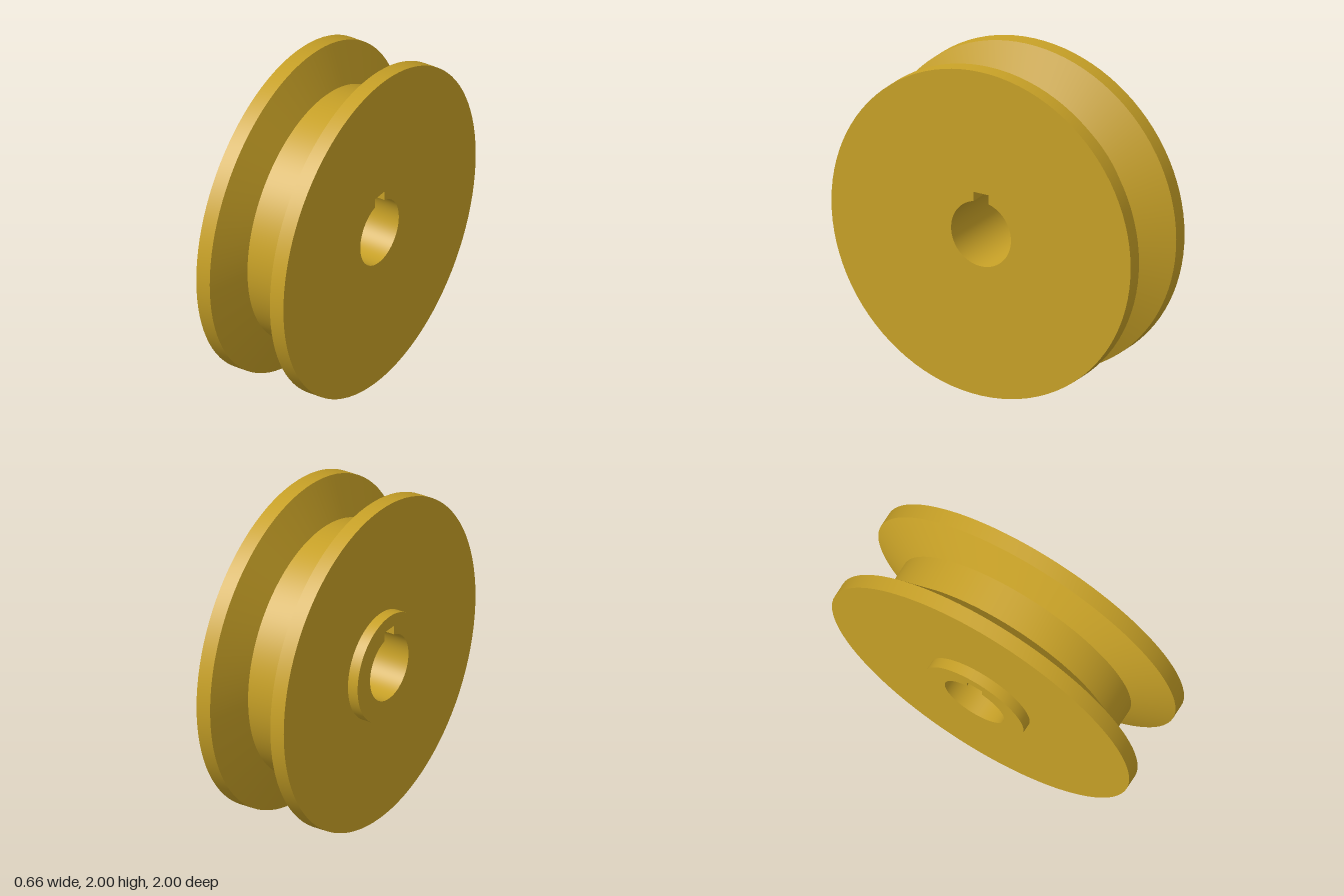
import * as THREE from 'three';
import { toCreasedNormals } from 'three/addons/utils/BufferGeometryUtils.js';

const LEFT = 0.33, RIGHT = -0.333, HUB_R = 0.33, BORE_R = 0.2;
const KEY_HALF = 0.05, KEY_TOP = 0.25, SEGMENTS = 48;

// Round bore with a rectangular keyway at the top, traced clockwise
function boreOutline() {
  const a = Math.asin(KEY_HALF / BORE_R);
  const path = new THREE.Path();
  path.absarc(0, 0, BORE_R, Math.PI / 2 - a, Math.PI / 2 + a, true);
  path.lineTo(-KEY_HALF, KEY_TOP);
  path.lineTo(KEY_HALF, KEY_TOP);
  path.closePath();
  return path;
}

// Flat disc pierced by the bore, facing +x (side 1) or -x (side -1)
function piercedDisc(radius, x, side) {
  const shape = new THREE.Shape().absarc(0, 0, radius, 0, Math.PI * 2, false);
  shape.holes.push(boreOutline());
  return new THREE.ShapeGeometry(shape, SEGMENTS)
    .rotateY(side * Math.PI / 2)
    .translate(x, 0, 0);
}

// Inward-facing wall running the length of the bore
function boreWall() {
  const pts = boreOutline().getPoints(SEGMENTS);
  const pos = [];
  for (let i = 0; i < pts.length - 1; i++) {
    const p = pts[i], q = pts[i + 1];
    pos.push(p.x, p.y, RIGHT, q.x, q.y, RIGHT, q.x, q.y, LEFT);
    pos.push(p.x, p.y, RIGHT, q.x, q.y, LEFT, p.x, p.y, LEFT);
  }
  const geo = new THREE.BufferGeometry();
  geo.setAttribute('position', new THREE.Float32BufferAttribute(pos, 3));
  geo.rotateY(Math.PI / 2);
  return toCreasedNormals(geo, Math.PI / 6);
}

// Hub side, flanges and tapered groove as one turned profile (radius, x)
function turnedBody() {
  const profile = [
    [HUB_R, RIGHT], [HUB_R, -0.267],
    [1, -0.267], [1, -0.175],
    [0.767, -0.07], [0.767, 0.13],
    [1, 0.237], [1, LEFT],
  ].map(([r, x]) => new THREE.Vector2(r, x));
  const geo = new THREE.LatheGeometry(profile, SEGMENTS * 2).rotateZ(-Math.PI / 2);
  return toCreasedNormals(geo, Math.PI / 6);
}

export function createModel() {
  const material = new THREE.MeshStandardMaterial({ color: 0xc9a227 });
  const pulley = new THREE.Group();
  pulley.name = 'pulley';

  const add = (name, geometry) => {
    const mesh = new THREE.Mesh(geometry, material);
    mesh.name = name;
    pulley.add(mesh);
  };
  add('groovedWheel', turnedBody());
  add('wheelFace', piercedDisc(1, LEFT, 1));
  add('hubFace', piercedDisc(HUB_R, RIGHT, -1));
  add('keyedBore', boreWall());

  pulley.position.y = 1;
  return pulley;
}
